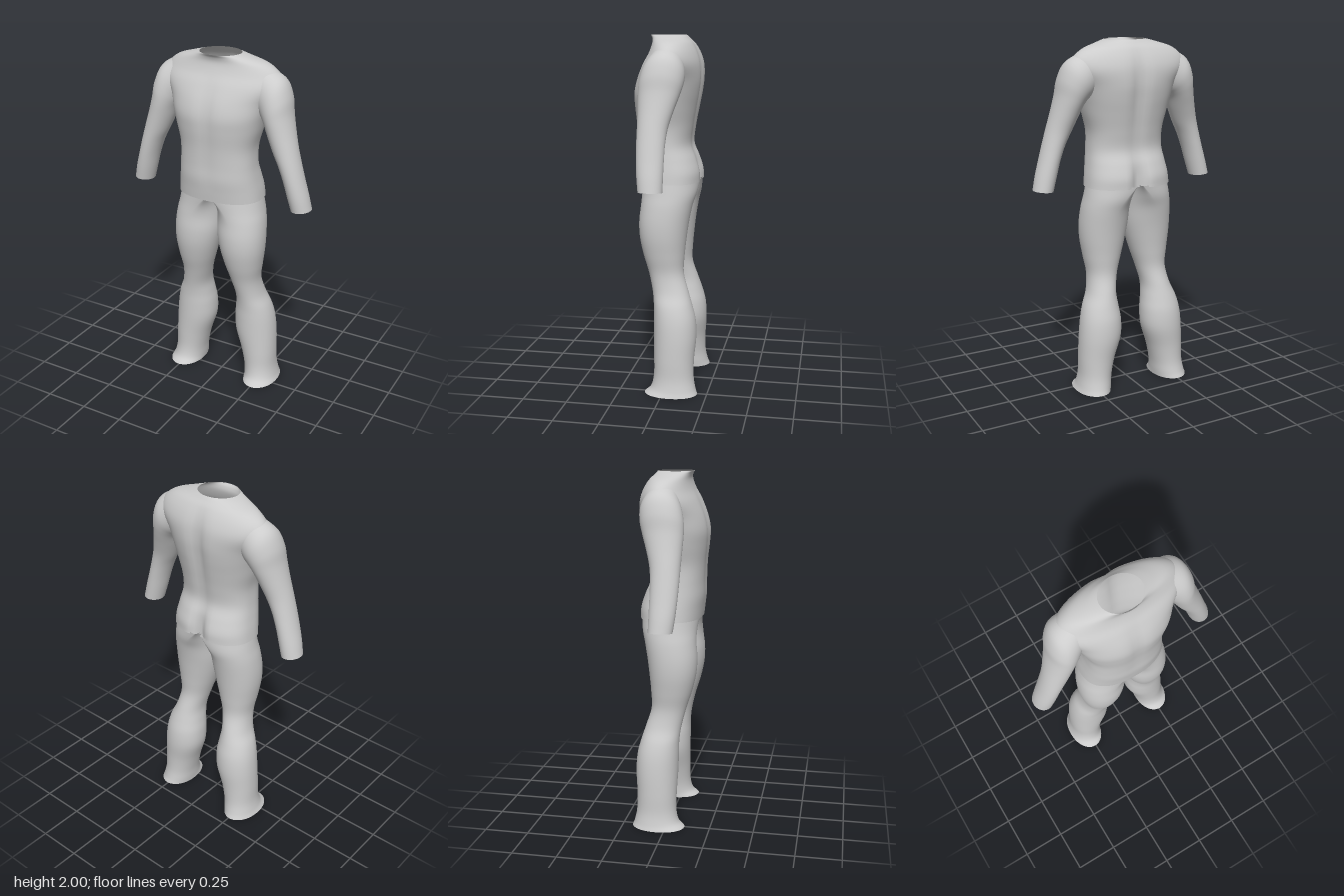
import * as THREE from 'three';

const cloth = new THREE.MeshStandardMaterial({ color: 0xcccccc, side: THREE.DoubleSide });
cloth.name = 'plain cloth';

const SEG = 64;
const power = (v, n) => Math.sign(v) * Math.abs(v) ** (2 / n);

// Smooth skin through rows of section sizes (lowest first); ring(row, cos, sin) gives one point
function loft(name, rows, ring, side = 1, steps = 5) {
  const size = rows[0].length;
  const spline = new THREE.CubicInterpolant(rows.map((_, i) => i), rows.flat(), size, new Float32Array(size));
  const count = (rows.length - 1) * steps;
  const pos = [], index = [];
  for (let i = 0; i <= count; i++) {
    const row = spline.evaluate(i / steps);
    for (let j = 0; j < SEG; j++) {
      const t = (side * j / SEG) * Math.PI * 2;
      const [x, y, z] = ring(row, Math.cos(t), Math.sin(t));
      pos.push(side * x, y, z);
      if (i < count) {
        const a = i * SEG + j, b = i * SEG + (j + 1) % SEG;
        index.push(a, a + SEG, b, b, a + SEG, b + SEG);
      }
    }
  }
  const geo = new THREE.BufferGeometry();
  geo.setAttribute('position', new THREE.Float32BufferAttribute(pos, 3));
  geo.setIndex(index);
  geo.computeVertexNormals();
  const mesh = new THREE.Mesh(geo, cloth);
  mesh.name = name;
  return mesh;
}

// Shirt body: y, half width, front z, back z, squareness, chest groove, spine groove
const shirtRows = [
  [1.19, 0.25, 0.165, -0.182, 2.4, 0, 0.045],
  [1.25, 0.243, 0.172, -0.18, 2.4, 0, 0.045],
  [1.32, 0.232, 0.18, -0.158, 2.4, 0.003, 0.025],
  [1.40, 0.222, 0.18, -0.128, 2.4, 0.005, 0.012],
  [1.50, 0.222, 0.184, -0.138, 2.4, 0.006, 0.014],
  [1.60, 0.248, 0.195, -0.157, 2.3, 0.010, 0.02],
  [1.68, 0.268, 0.198, -0.172, 2.3, 0.014, 0.025],
  [1.76, 0.295, 0.18, -0.182, 2.2, 0.012, 0.025],
  [1.84, 0.345, 0.145, -0.178, 2.1, 0.006, 0.02],
  [1.90, 0.335, 0.112, -0.16, 2, 0, 0.012],
  [1.95, 0.275, 0.096, -0.132, 2, 0, 0.004],
  [1.98, 0.185, 0.1, -0.105, 2, 0, 0],
  [1.998, 0.118, 0.113, -0.09, 2, 0, 0],
];
function shirtRing([y, w, front, back, n, chest, spine], c, s) {
  const x = w * power(c, n);
  const groove = Math.exp(-((x / 0.04) ** 2)) * (s > 0 ? -chest : spine);
  const z = (front + back) / 2 + ((front - back) / 2) * power(s, n) + groove * Math.abs(s);
  return [x, y, z];
}

// Sleeve: inner x, inner y, outer x, outer y, front z, back z
const sleeveRows = [
  [0.448, 1.188, 0.56, 1.197, 0.085, -0.045],
  [0.425, 1.27, 0.543, 1.27, 0.095, -0.045],
  [0.4, 1.36, 0.52, 1.35, 0.102, -0.045],
  [0.37, 1.44, 0.495, 1.44, 0.106, -0.047],
  [0.335, 1.51, 0.47, 1.53, 0.108, -0.056],
  [0.3, 1.59, 0.445, 1.62, 0.111, -0.08],
  [0.275, 1.65, 0.423, 1.71, 0.114, -0.105],
  [0.255, 1.68, 0.408, 1.8, 0.112, -0.122],
  [0.235, 1.7, 0.368, 1.885, 0.1, -0.128],
  [0.2, 1.74, 0.285, 1.935, 0.075, -0.115],
];
const sleeveRing = ([xi, yi, xo, yo, front, back], c, s) => [
  (xi + xo) / 2 + ((xo - xi) / 2) * c,
  (yi + yo) / 2 + ((yo - yi) / 2) * c,
  (front + back) / 2 + ((front - back) / 2) * s,
];

// Trouser leg: y, inner x, middle x, outer x, front z, back z
const legRows = [
  [0, 0.155, 0.255, 0.355, 0.105, -0.195],
  [0.035, 0.152, 0.247, 0.343, 0.07, -0.183],
  [0.1, 0.145, 0.238, 0.332, 0.055, -0.172],
  [0.2, 0.122, 0.226, 0.33, 0.055, -0.172],
  [0.32, 0.084, 0.205, 0.325, 0.059, -0.181],
  [0.42, 0.08, 0.197, 0.314, 0.061, -0.175],
  [0.5, 0.09, 0.192, 0.294, 0.063, -0.155],
  [0.58, 0.096, 0.178, 0.261, 0.073, -0.13],
  [0.68, 0.075, 0.16, 0.246, 0.097, -0.101],
  [0.78, 0.045, 0.152, 0.26, 0.128, -0.104],
  [0.88, 0.018, 0.146, 0.274, 0.15, -0.114],
  [0.97, 0.002, 0.139, 0.277, 0.155, -0.126],
  [1.06, 0, 0.125, 0.27, 0.147, -0.143],
  [1.13, 0, 0.085, 0.257, 0.146, -0.163],
  [1.2, 0, 0.02, 0.244, 0.154, -0.174],
];
const legRing = ([y, inner, mid, outer, front, back], c, s) => [
  mid + c * (c > 0 ? outer - mid : mid - inner),
  y,
  (front + back) / 2 + ((front - back) / 2) * power(s, 2.15),
];

export function createModel() {
  const model = new THREE.Group();
  model.name = 'outfit';
  const shirt = new THREE.Group();
  shirt.name = 'shirt';
  const trousers = new THREE.Group();
  trousers.name = 'trousers';

  shirt.add(loft('shirtBody', shirtRows, shirtRing));
  for (const [label, side] of [['left', 1], ['right', -1]]) {
    shirt.add(loft(label + 'Sleeve', sleeveRows, sleeveRing, side));
    trousers.add(loft(label + 'TrouserLeg', legRows, legRing, side));
  }

  model.add(shirt, trousers);
  return model;
}
